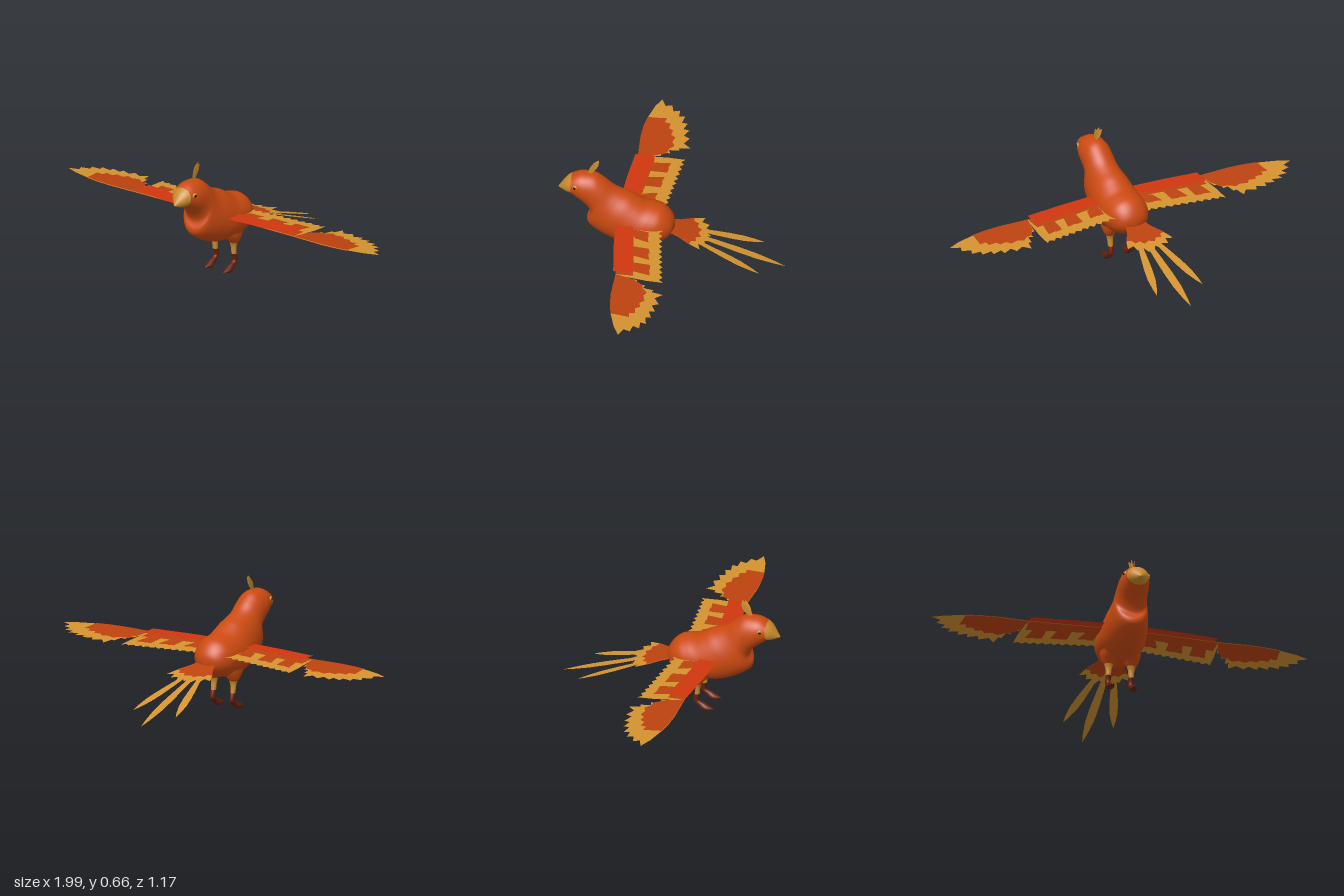
import * as THREE from 'three';

const mat = (name, color, side = THREE.FrontSide) => {
  const m = new THREE.MeshStandardMaterial({ color, side });
  m.name = name;
  return m;
};

export function createModel() {
  const bird = new THREE.Group();
  bird.name = 'bird';
  const D = THREE.DoubleSide;
  const orange = mat('plumage orange', 0xcb4a10);
  const horn = mat('beak and leg gold', 0xc98a2c);
  const dark = mat('foot brown', 0x65200c);
  const black = mat('pupil black', 0x1a0d08);
  const gold = mat('feather gold', 0xd3922f, D);
  const rust = mat('feather rust', 0xbc420f, D);
  const red = mat('shoulder red', 0xd0360f, D);

  const add = (geometry, material, name, parent = bird) => {
    const mesh = new THREE.Mesh(geometry, material);
    mesh.name = name;
    parent.add(mesh);
    return mesh;
  };

  // Smooth skin through oval sections: [half width, z and y of one edge, z and y of the other]
  function loft(sections, steps, sides, cx = 0) {
    const a = new THREE.CatmullRomCurve3(sections.map(s => new THREE.Vector3(s[0], s[2], s[1])));
    const b = new THREE.CatmullRomCurve3(sections.map(s => new THREE.Vector3(0, s[4], s[3])));
    a.curveType = b.curveType = 'catmullrom';
    const pos = [], index = [];
    for (let i = 0; i <= steps; i++) {
      const p = a.getPoint(i / steps), q = b.getPoint(i / steps);
      for (let j = 0; j < sides; j++) {
        const t = j / sides * Math.PI * 2, c = Math.cos(t) / 2;
        pos.push(cx + p.x * Math.sin(t),
          (p.y + q.y) / 2 + (p.y - q.y) * c,
          (p.z + q.z) / 2 + (p.z - q.z) * c);
        if (i < steps) {
          const k = (j + 1) % sides, r = i * sides, n = r + sides;
          index.push(r + j, r + k, n + k, r + j, n + k, n + j);
        }
      }
    }
    const g = new THREE.BufferGeometry();
    g.setAttribute('position', new THREE.Float32BufferAttribute(pos, 3));
    g.setIndex(index);
    g.computeVertexNormals();
    return g;
  }

  // Flat outline laid into space by a rule
  function plate(points, place) {
    const g = new THREE.ShapeGeometry(new THREE.Shape(points.map(p => new THREE.Vector2(p[0], p[1]))));
    const pos = g.attributes.position;
    for (let i = 0; i < pos.count; i++) pos.setXYZ(i, ...place(pos.getX(i), pos.getY(i)));
    g.computeVertexNormals();
    return g;
  }

  // Row of pointed feather ends, with notches drawn toward a pivot
  function fringe(tips, [px, pz], depth) {
    const out = [];
    tips.forEach((t, i) => {
      out.push(t);
      const n = tips[i + 1];
      if (!n) return;
      const mx = (t[0] + n[0]) / 2, mz = (t[1] + n[1]) / 2;
      const l = Math.hypot(px - mx, pz - mz);
      out.push([mx + (px - mx) / l * depth, mz + (pz - mz) / l * depth]);
    });
    return out;
  }

  // Spindle-shaped feather outline from base to tip
  function leaf([x0, z0], [x1, z1], w) {
    const l = Math.hypot(x1 - x0, z1 - z0), nx = -(z1 - z0) / l, nz = (x1 - x0) / l;
    const at = (t, k) => [x0 + (x1 - x0) * t + nx * w * k, z0 + (z1 - z0) * t + nz * w * k];
    const half = [[0, .5], [.25, .8], [.5, 1], [.7, .95], [.88, .5]];
    return [...half.map(([t, k]) => at(t, k)), at(1, 0), ...half.reverse().map(([t, k]) => at(t, -k))];
  }

  // Body and head, from face to rump
  add(loft([
    [.056, .519, .553, .522, .456], [.068, .488, .569, .488, .428],
    [.076, .453, .575, .456, .403], [.079, .394, .569, .431, .372],
    [.083, .347, .538, .419, .338], [.09, .3, .497, .437, .303],
    [.098, .253, .472, .431, .272], [.108, .206, .453, .394, .241],
    [.115, .169, .431, .344, .213], [.12, .128, .409, .284, .188],
    [.12, .088, .4, .213, .178], [.115, .05, .388, .138, .178],
    [.1, .019, .363, .081, .188], [.075, -.003, .331, .034, .209],
    [.042, -.012, .303, .003, .237], [.001, -.013, .271, -.013, .27],
  ], 75, 40), orange, 'body');

  // Beak, from tip to base
  add(loft([
    [.002, .585, .478, .585, .474], [.026, .562, .512, .56, .463],
    [.045, .54, .539, .54, .457], [.058, .517, .556, .519, .454],
  ], 15, 32), horn, 'beak');

  // Crest of three slim feathers
  [[-.14, .094], [0, .11], [.14, .1]].forEach(([lean, length], i) => {
    const shape = leaf([0, 0], [length, 0], .014);
    add(plate(shape, (u, v) => [lean * u, .562 + .88 * u + v * .47, .43 - (.47 - (i - 1) * .08) * u + v * .88]),
      gold, 'crestFeather');
  });

  for (const s of [1, -1]) {
    const side = s > 0 ? 'left' : 'right';

    // Eye
    const eye = new THREE.Group();
    eye.name = side + 'Eye';
    eye.position.set(s * .063, .519, .494);
    eye.rotation.y = s * 1.25;
    bird.add(eye);
    add(new THREE.SphereGeometry(.014, 20, 12).scale(1, 1, .55), horn, 'iris', eye);
    add(new THREE.SphereGeometry(.008, 16, 10).scale(1, 1, .5).translate(0, 0, .005), black, 'pupil', eye);

    // Leg: thigh, shank and foot, sections run back edge then front edge
    const x = s * .06;
    add(loft([
      [.046, .1, .225, .235, .225], [.042, .115, .197, .215, .197],
      [.033, .131, .172, .192, .172], [.024, .143, .158, .181, .158],
    ], 12, 24, x), orange, side + 'Thigh');
    add(loft([
      [.024, .143, .16, .181, .16], [.017, .149, .134, .174, .134], [.013, .144, .09, .172, .094],
    ], 10, 20, x), horn, side + 'Shank');
    add(loft([
      [.014, .143, .094, .173, .096], [.014, .137, .072, .166, .072],
      [.014, .137, .05, .168, .056], [.014, .156, .031, .194, .044],
      [.019, .184, .009, .219, .031], [.014, .203, .003, .238, .022],
      [.003, .241, .013, .247, .016],
    ], 24, 20, x), dark, side + 'Foot');

    // Wing: gold feathers with rust patches on both faces
    const wing = new THREE.Group();
    wing.name = side + 'Wing';
    bird.add(wing);
    const wingAt = e => (u, v) => [s * u, .308 + .075 * (v - .1) + .012 * Math.max(0, .5 - u) + e, v];
    const both = (pts, name) => [.0025, -.0025].forEach(e => add(plate(pts, wingAt(e)), rust, name, wing));

    const innerTips = [];
    for (let i = 0; i <= 10; i++) innerTips.push([.1 + i * .042, .04 - i * .005]);
    add(plate([[.05, .245], [.05, .06], ...fringe(innerTips, [.3, 3], .018), [.52, .08], [.505, .235]],
      wingAt(0)), gold, 'innerFeathers', wing);
    both([[.06, .245], [.06, .19], [.495, .145], [.5, .235]], 'innerBand');
    [[.12, .205], [.255, .345], [.385, .47]].forEach(([a, b]) => {
      const z = .125 - a * .14;
      both([[a, .2], [a + .005, z], [(a + b) / 2, z - .006], [(a + b) / 2, z], [b + .005, z - .01], [b - .015, .17]],
        'innerPatch');
    });

    const outerTips = [[.995, .165], [.955, .11], [.92, .065], [.875, .035], [.82, .015],
      [.765, 0], [.7, -.01], [.62, -.022], [.59, .03], [.555, .075], [.525, .12]];
    const lead = [[.5, .235], [.67, .24], [.76, .234], [.83, .222]];
    add(plate([...lead, [.93, .195], ...fringe(outerTips, [.62, .2], .032)], wingAt(0)),
      gold, 'outerFeathers', wing);
    both([...lead, [.835, .165], [.84, .125], [.805, .13], [.8, .1], [.76, .105], [.745, .08], [.71, .088],
      [.69, .063], [.65, .075], [.62, .06], [.59, .085], [.56, .09], [.525, .14]], 'outerPatch');

    // Shoulder bar lying above the wing
    add(plate([[.06, .283], [.06, .195], [.3, .17], [.495, .145], [.495, .247], [.3, .268]],
      (u, v) => [s * u, .334, v]), red, 'shoulderBar', wing);

    // Long outer tail feather
    add(plate(leaf([s * .045, -.12], [s * .133, -.462], .022), (u, v) => [u, .266 + .35 * v, v]),
      gold, side + 'TailFeather');
  }

  // Tail fan and long middle feather
  const fanAt = e => (u, v) => [u, .268 + .23 * v + e, v];
  const tips = [[-.132, -.155], [-.088, -.182], [-.038, -.215], [0, -.2], [.038, -.215], [.088, -.182], [.132, -.155]];
  add(plate([[.045, .03], [-.045, .03], [-.07, -.04], [-.115, -.11], ...fringe(tips, [0, 0], .03),
    [.115, -.11], [.07, -.04]], fanAt(0)), gold, 'tailFan');
  const fanEdge = [[.07, -.035], [.11, -.1], [.085, -.105], [.075, -.13], [.045, -.125], [.03, -.15]];
  const fanPatch = [[.048, .03], ...fanEdge, [0, -.135],
    ...fanEdge.map(([a, b]) => [-a, b]).reverse(), [-.048, .03]];
  for (const e of [.0025, -.0025]) add(plate(fanPatch, fanAt(e)), rust, 'tailPatch');
  add(plate(leaf([0, -.1], [0, -.582], .023), (u, v) => [u, .266 + .35 * v, v]), gold, 'middleTailFeather');

  return bird;
}
